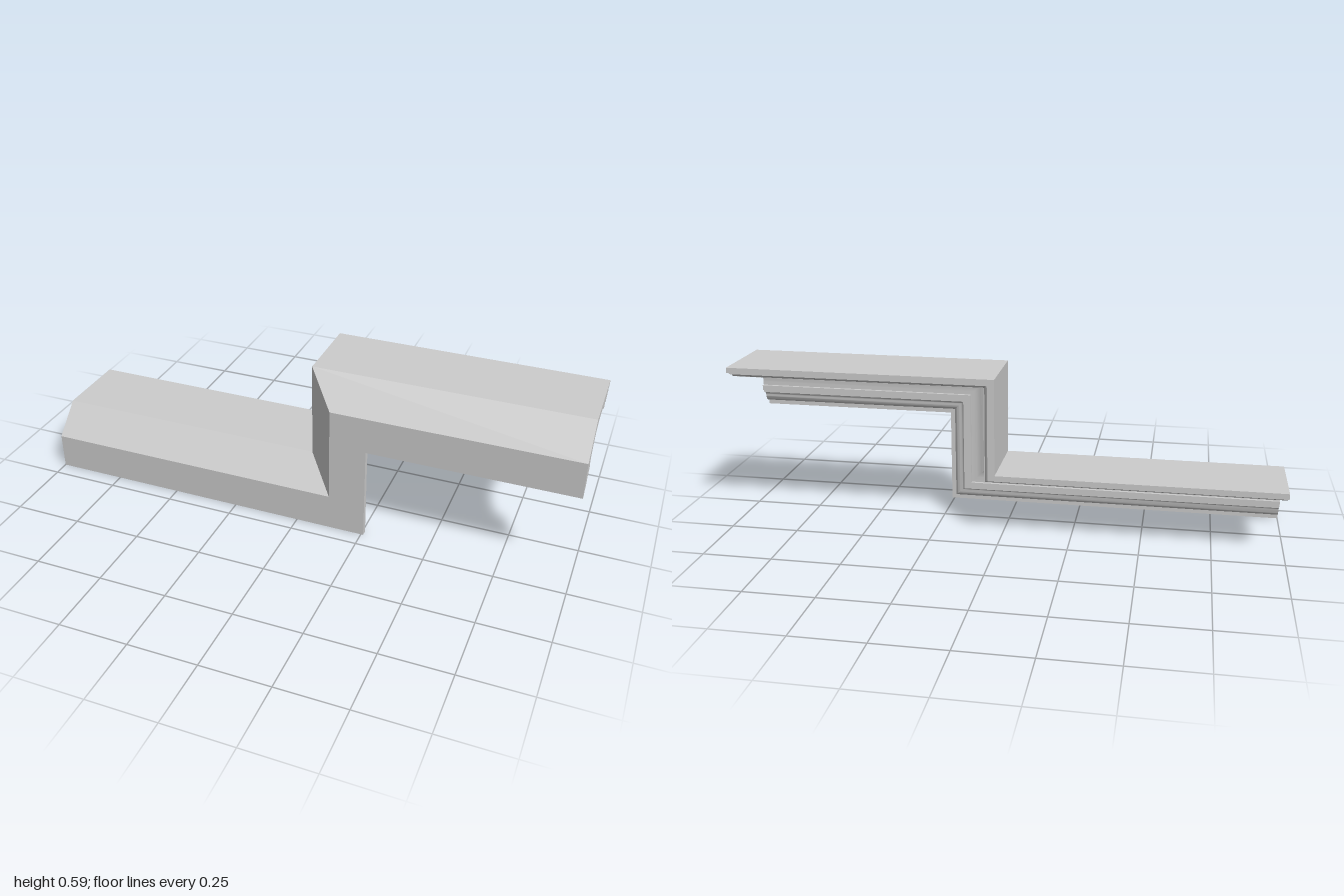
import * as THREE from 'three';
import { toCreasedNormals } from 'three/addons/utils/BufferGeometryUtils.js';

// Moulding cross-section: x = model z, y = depth below the top face
function mouldingProfile() {
  const pts = [];
  const add = (...list) => list.forEach(([z, d]) => pts.push(new THREE.Vector2(z, d)));
  // elliptical arc, angles in degrees
  const arc = (cz, cd, rz, rd, from, to, n) => {
    for (let i = 0; i <= n; i++) {
      const a = THREE.MathUtils.degToRad(from + (to - from) * i / n);
      add([cz + rz * Math.cos(a), cd + rd * Math.sin(a)]);
    }
  };

  // flat top, chamfer, front face, bottom lip
  add([-0.192, 0], [0.087, 0], [0.192, 0.105], [0.192, 0.239], [0.171, 0.239]);
  // ogee
  arc(0.171, 0.195, 0.027, 0.027, 90, 180, 10);
  arc(0.127, 0.195, 0.017, 0.015, 0, -90, 10);
  // front fillet
  add([0.127, 0.169], [0.117, 0.169], [0.117, 0.15], [0.128, 0.15]);
  // large cove
  arc(-0.006, 0.137, 0.134, 0.107, 0, -90, 24);
  arc(-0.006, 0.137, 0.15, 0.107, -93, -122.7, 9);
  // back fillet
  add([-0.087, 0.055], [-0.105, 0.055]);
  // bead
  const bead = new THREE.SplineCurve([
    [-0.105, 0.037], [-0.116, 0.044], [-0.128, 0.047],
    [-0.141, 0.043], [-0.149, 0.036], [-0.153, 0.03],
  ].map(p => new THREE.Vector2(...p)));
  pts.push(...bead.getPoints(16));
  // back steps
  add([-0.169, 0.03], [-0.169, 0.02], [-0.192, 0.02]);

  // drop coincident points
  return pts.filter((p, i) => i === 0 || p.distanceTo(pts[i - 1]) > 1e-5);
}

// Sweep the section along a stepped path with mitred corners
function steppedMoulding(profile) {
  const low = 0.239, high = 0.592, stepX = 0.02;
  const stations = p => [
    [-1, low - p.y, p.x],
    [stepX + p.y, low - p.y, p.x],
    [stepX + p.y, high - p.y, p.x],
    [1, high - p.y, p.x],
  ];
  const rows = profile.map(stations);
  const pos = [];
  const tri = (a, b, c) => pos.push(...a, ...b, ...c);

  rows.forEach((r, i) => {
    const next = rows[(i + 1) % rows.length];
    for (let j = 0; j < 3; j++) {
      tri(r[j], next[j], next[j + 1]);
      tri(r[j], next[j + 1], r[j + 1]);
    }
  });

  // end caps
  for (const [a, b, c] of THREE.ShapeUtils.triangulateShape(profile, [])) {
    tri(rows[a][3], rows[b][3], rows[c][3]);
    tri(rows[a][0], rows[c][0], rows[b][0]);
  }

  const geo = new THREE.BufferGeometry();
  geo.setAttribute('position', new THREE.Float32BufferAttribute(pos, 3));
  return toCreasedNormals(geo, 0.5);
}

export function createModel() {
  const group = new THREE.Group();
  group.name = 'steppedCornice';
  const mesh = new THREE.Mesh(
    steppedMoulding(mouldingProfile()),
    new THREE.MeshStandardMaterial({ color: 0xcccccc })
  );
  mesh.name = 'corniceMoulding';
  group.add(mesh);
  return group;
}
